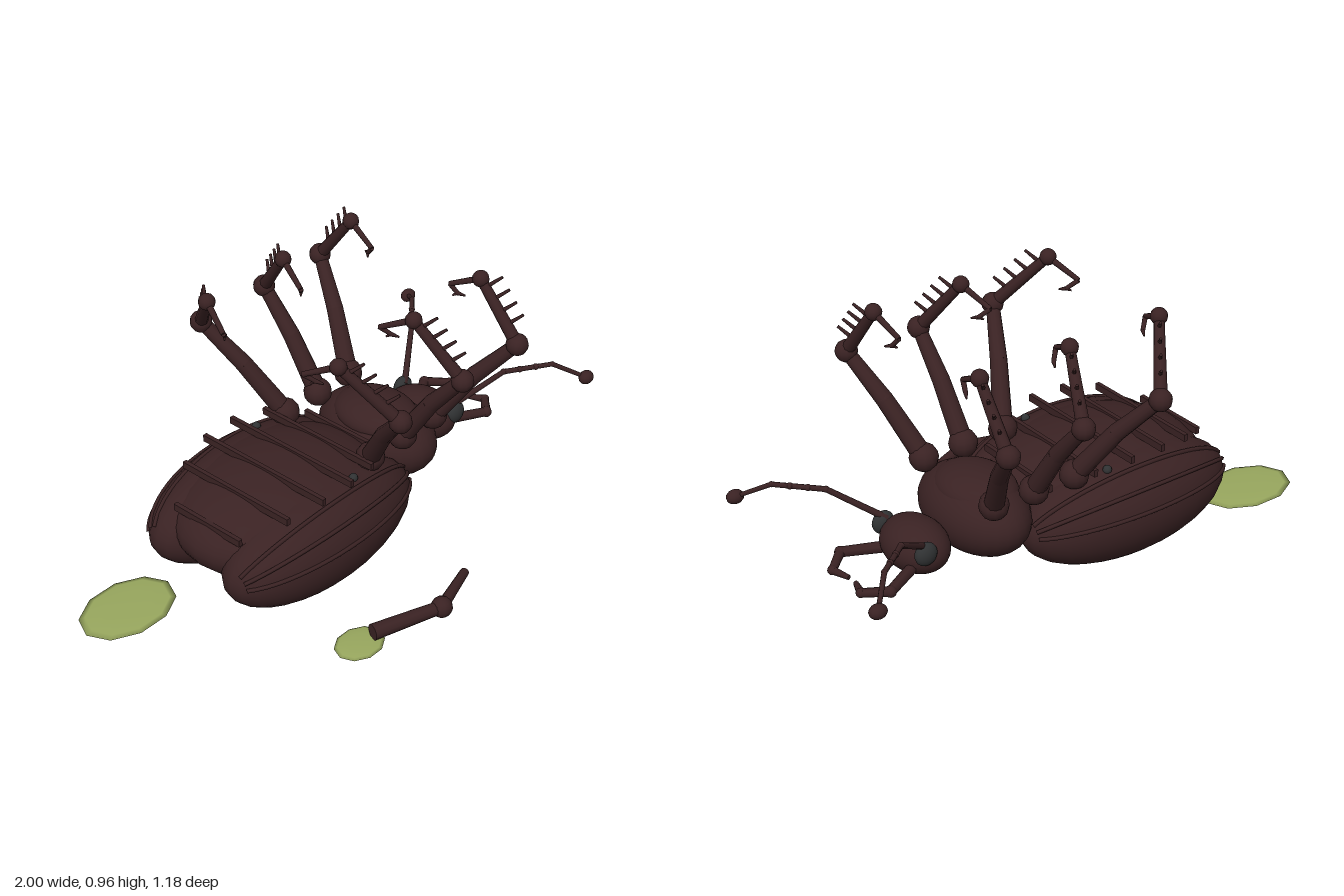
import * as THREE from 'three';

const shell = new THREE.MeshStandardMaterial({ color: 0x3a2223 });
shell.name = 'dark brown shell';
const eyeGrey = new THREE.MeshStandardMaterial({ color: 0x303233 });
eyeGrey.name = 'charcoal eye';
const leaf = new THREE.MeshStandardMaterial({ color: 0x98a75e });
leaf.name = 'olive leaf';

const V = (p) => new THREE.Vector3(...p);

function add(parent, name, geometry, material = shell) {
  const mesh = new THREE.Mesh(geometry, material);
  mesh.name = name;
  parent.add(mesh);
  return mesh;
}

function ellipsoid(parent, name, pos, radii, material = shell, w = 28, h = 20) {
  const mesh = add(parent, name, new THREE.SphereGeometry(1, w, h), material);
  mesh.position.set(...pos);
  mesh.scale.set(...radii);
  return mesh;
}

const ball = (parent, name, pos, r, material = shell) =>
  ellipsoid(parent, name, pos, [r, r, r], material, 12, 8);

// Tapered rod from a to b
function rod(parent, name, a, b, ra, rb = ra, sides = 8) {
  const from = V(a), to = V(b);
  const mesh = add(parent, name, new THREE.CylinderGeometry(rb, ra, from.distanceTo(to), sides));
  mesh.position.copy(from).add(to).multiplyScalar(0.5);
  mesh.quaternion.setFromUnitVectors(new THREE.Vector3(0, 1, 0), to.sub(from).normalize());
  return mesh;
}

// Chain of rods with small balls at the inner joints
function chain(parent, name, points, radii) {
  for (let i = 0; i < points.length - 1; i++) {
    rod(parent, name + 'Segment', points[i], points[i + 1], radii[i], radii[i + 1]);
    if (i) ball(parent, name + 'Joint', points[i], radii[i] * 1.15);
  }
}

const lerp = (a, b, t) => a.map((v, i) => v + (b[i] - v) * t);
const offset = (a, d) => a.map((v, i) => v + d[i]);

// One leg; s is the side, the x values place hip, knee, ankle and foot
function makeLeg(parent, name, s, [hipX, kneeX, ankleX, footX, clawX]) {
  const leg = new THREE.Group();
  leg.name = name;
  parent.add(leg);
  const hip = [hipX, 0.39, s * 0.2];
  const knee = [kneeX, 0.732, s * 0.455];
  const ankle = [ankleX, 0.935, s * 0.295];
  const foot = [footX, 0.877, s * 0.178];
  const claw = [clawX, 0.845, s * 0.205];
  const mid = [hipX + (kneeX - hipX) * 0.52, 0.58, s * 0.325];
  ball(leg, 'hip', hip, 0.052);
  rod(leg, 'lowerThigh', hip, mid, 0.036, 0.031, 12);
  ball(leg, 'thighBend', mid, 0.031);
  rod(leg, 'upperThigh', mid, knee, 0.031, 0.024, 12);
  ball(leg, 'knee', knee, 0.04);
  rod(leg, 'shin', knee, ankle, 0.024, 0.018, 10);
  ball(leg, 'ankle', ankle, 0.03);
  // Spines along the outside of the shin
  for (let i = 0; i < 4; i++) {
    const root = lerp(knee, ankle, 0.3 + i * 0.19);
    rod(leg, 'spine', root, offset(root, [0.035, 0.042, s * 0.045]), 0.008, 0.005, 6);
  }
  // Foot and hooked claws
  rod(leg, 'foot', ankle, foot, 0.012, 0.009);
  rod(leg, 'footTip', foot, claw, 0.009, 0.008);
  for (const d of [-1, 1]) {
    rod(leg, 'claw', claw, offset(claw, [0.014 * d, -0.008, s * (0.006 + 0.018 * d)]), 0.008, 0.003, 6);
  }
}

export function createModel() {
  const model = new THREE.Group();
  model.name = 'overturnedBeetle';
  const beetle = new THREE.Group();
  beetle.name = 'beetle';
  beetle.position.z = -0.1;
  model.add(beetle);

  // Body
  const belly = { x: -0.22, y: 0.245, rx: 0.42, ry: 0.178, rz: 0.34 };
  ellipsoid(beetle, 'abdomen', [belly.x, belly.y, 0], [belly.rx, belly.ry, belly.rz]);
  ellipsoid(beetle, 'thorax', [0.29, 0.265, 0], [0.16, 0.145, 0.246]);
  ellipsoid(beetle, 'breastPlate', [0.283, 0.345, 0], [0.132, 0.073, 0.17]);
  ellipsoid(beetle, 'head', [0.535, 0.215, 0], [0.108, 0.092, 0.142]);

  // Cross ridges on the belly, with flat tops
  for (let i = 0; i < 6; i++) {
    const x = -0.575 + i * 0.136;
    const k = Math.sqrt(1 - ((x - belly.x) / belly.rx) ** 2);
    const ridge = add(beetle, 'bellyRidge', new THREE.BoxGeometry(0.016, 0.026, 0.57 * k));
    ridge.position.set(x, belly.y + belly.ry * k - 0.005, 0);
  }

  for (const s of [1, -1]) {
    // Wing case with raised lengthwise ribs
    const c = [-0.22, 0.198, s * 0.175], r = [0.435, 0.193, 0.188];
    ellipsoid(beetle, 'wingCase', c, r);
    for (const deg of [13, 37, 62]) {
      const a = THREE.MathUtils.degToRad(deg), pts = [];
      for (let i = 0; i <= 14; i++) {
        const t = -1.25 + (2.5 * i) / 14;
        pts.push(new THREE.Vector3(
          c[0] + r[0] * Math.sin(t),
          c[1] + r[1] * Math.cos(t) * Math.sin(a),
          c[2] + s * r[2] * Math.cos(t) * Math.cos(a)));
      }
      add(beetle, 'wingCaseRib', new THREE.TubeGeometry(new THREE.CatmullRomCurve3(pts), 28, 0.008, 6));
    }
    ball(beetle, 'breathingHole', [-0.1, 0.378, s * 0.228], 0.016, eyeGrey);

    // Eyes, jaws and feelers
    ellipsoid(beetle, 'eye', [0.577, 0.25, s * 0.125], [0.042, 0.042, 0.028], eyeGrey, 16, 12);
    chain(beetle, 'jaw',
      [[0.61, 0.185, s * 0.085], [0.735, 0.18, s * 0.15], [0.808, 0.17, s * 0.085], [0.785, 0.165, s * 0.02]],
      [0.02, 0.018, 0.015, 0.009]);
    const feeler = [[0.57, 0.27, s * 0.11], [0.735, 0.39, s * 0.22], [0.875, 0.405, s * 0.335], [0.963, 0.345, s * 0.428]];
    chain(beetle, 'feeler', feeler, [0.012, 0.01, 0.009, 0.008]);
    for (const t of [0.33, 0.66]) ball(beetle, 'feelerBead', lerp(feeler[1], feeler[2], t), 0.012);
    ellipsoid(beetle, 'feelerClub', feeler[3], [0.032, 0.025, 0.026], shell, 12, 8);

    // Legs
    const side = s > 0 ? 'Right' : 'Left';
    makeLeg(beetle, 'hindLeg' + side, s, [0.02, -0.128, -0.25, -0.293, -0.26]);
    makeLeg(beetle, 'middleLeg' + side, s, [0.19, 0.19, 0.122, 0.085, 0.115]);
    makeLeg(beetle, 'frontLeg' + side, s, [0.355, 0.486, 0.475, 0.455, 0.465]);
  }

  // Loose leg lying on the ground
  const loose = new THREE.Group();
  loose.name = 'looseLeg';
  model.add(loose);
  const joint = [-0.128, 0.062, 0.552];
  rod(loose, 'looseThigh', joint, [-0.38, 0.06, 0.462], 0.023, 0.029, 10);
  ball(loose, 'looseKnee', joint, 0.038);
  rod(loose, 'looseShin', joint, [0.08, 0.049, 0.483], 0.021, 0.016, 10);

  // Fallen leaves
  ellipsoid(model, 'largeLeaf', [-0.81, 0.027, -0.265], [0.19, 0.009, 0.134], leaf, 10, 6);
  ellipsoid(model, 'smallLeaf', [-0.423, 0.027, 0.442], [0.096, 0.009, 0.077], leaf, 10, 6);

  return model;
}
